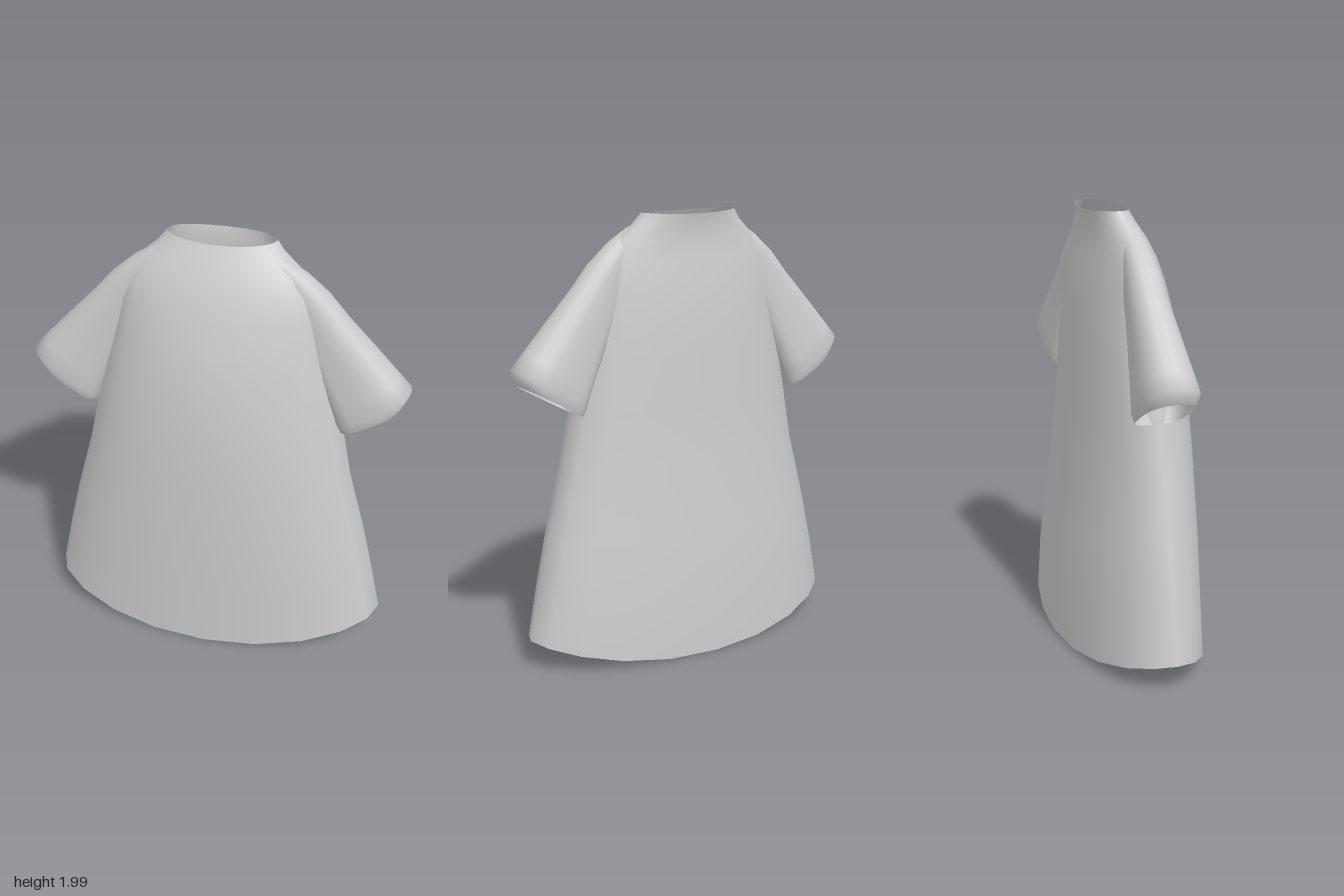
import * as THREE from 'three';

const SEG = 20;
const material = new THREE.MeshStandardMaterial({ color: 0xcccccc, side: THREE.DoubleSide });

// Skin a stack of closed rings; point(row, angle) gives [x, y, z]
function loft(rows, point, name) {
  const pos = [], index = [];
  rows.forEach((row, i) => {
    for (let j = 0; j < SEG; j++) {
      pos.push(...point(row, (j / SEG) * Math.PI * 2));
      if (i === rows.length - 1) continue;
      const a = i * SEG + j, b = i * SEG + (j + 1) % SEG;
      index.push(a, b, b + SEG, a, b + SEG, a + SEG);
    }
  });
  const geo = new THREE.BufferGeometry();
  geo.setAttribute('position', new THREE.Float32BufferAttribute(pos, 3));
  geo.setIndex(index);
  geo.computeVertexNormals();
  const mesh = new THREE.Mesh(geo, material);
  mesh.name = name;
  return mesh;
}

const power = (v, p) => Math.sign(v) * Math.abs(v) ** p;

// Dress body: [y, half width, front z, back z, z of the side line]
const bodyRows = [
  [0.01, 0.80, 0.307, -0.303, 0],
  [0.28, 0.752, 0.307, -0.295, 0],
  [0.57, 0.695, 0.305, -0.268, 0],
  [0.90, 0.62, 0.295, -0.235, 0],
  [1.15, 0.57, 0.28, -0.219, -0.01],
  [1.38, 0.52, 0.252, -0.206, -0.02],
  [1.55, 0.48, 0.215, -0.194, -0.02],
  [1.70, 0.455, 0.17, -0.175, -0.02],
  [1.80, 0.425, 0.132, -0.157, -0.025],
  [1.88, 0.365, 0.093, -0.146, -0.035],
  [1.95, 0.28, 0.053, -0.149, -0.055],
  [2.00, 0.24, 0.028, -0.158, -0.065],
];

function bodyPoint([y, w, front, back, side], a) {
  const s = Math.sin(a), c = Math.cos(a);
  // the hem rises towards the sides
  const lift = 0.13 * Math.abs(s) ** 2.2 * Math.max(0, 1 - y / 0.9);
  const neckDip = y === 2 ? 0.008 * c * c : 0;
  return [w * s, y + lift - neckDip, side + c * (c > 0 ? front - side : side - back)];
}

// Sleeve: [top x, top y, underside x, underside y, half depth]
const sleeveRows = [
  [0.28, 1.94, 0.26, 1.80, 0.05],
  [0.38, 1.878, 0.32, 1.72, 0.066],
  [0.48, 1.79, 0.36, 1.62, 0.08],
  [0.56, 1.695, 0.41, 1.50, 0.087],
  [0.70, 1.545, 0.47, 1.36, 0.104],
  [0.80, 1.435, 0.52, 1.25, 0.118],
  [0.86, 1.37, 0.545, 1.18, 0.126],
  [0.83, 1.30, 0.56, 1.145, 0.112],
];

function sleevePoint([tx, ty, bx, by, depth], a, side) {
  const s = Math.sin(a), c = Math.cos(a);
  // rounded over the arm, squarer underneath
  const p = s > 0 ? 0.85 : 0.55;
  const t = 0.5 + 0.5 * power(s, p);
  return [side * (bx + (tx - bx) * t), by + (ty - by) * t, -0.024 + side * depth * power(c, p)];
}

export function createModel() {
  const group = new THREE.Group();
  group.name = 'dress';
  group.add(loft(bodyRows, bodyPoint, 'dressBody'));
  for (const side of [1, -1]) {
    group.add(loft(sleeveRows, (row, a) => sleevePoint(row, a, side),
      side > 0 ? 'leftSleeve' : 'rightSleeve'));
  }
  return group;
}
